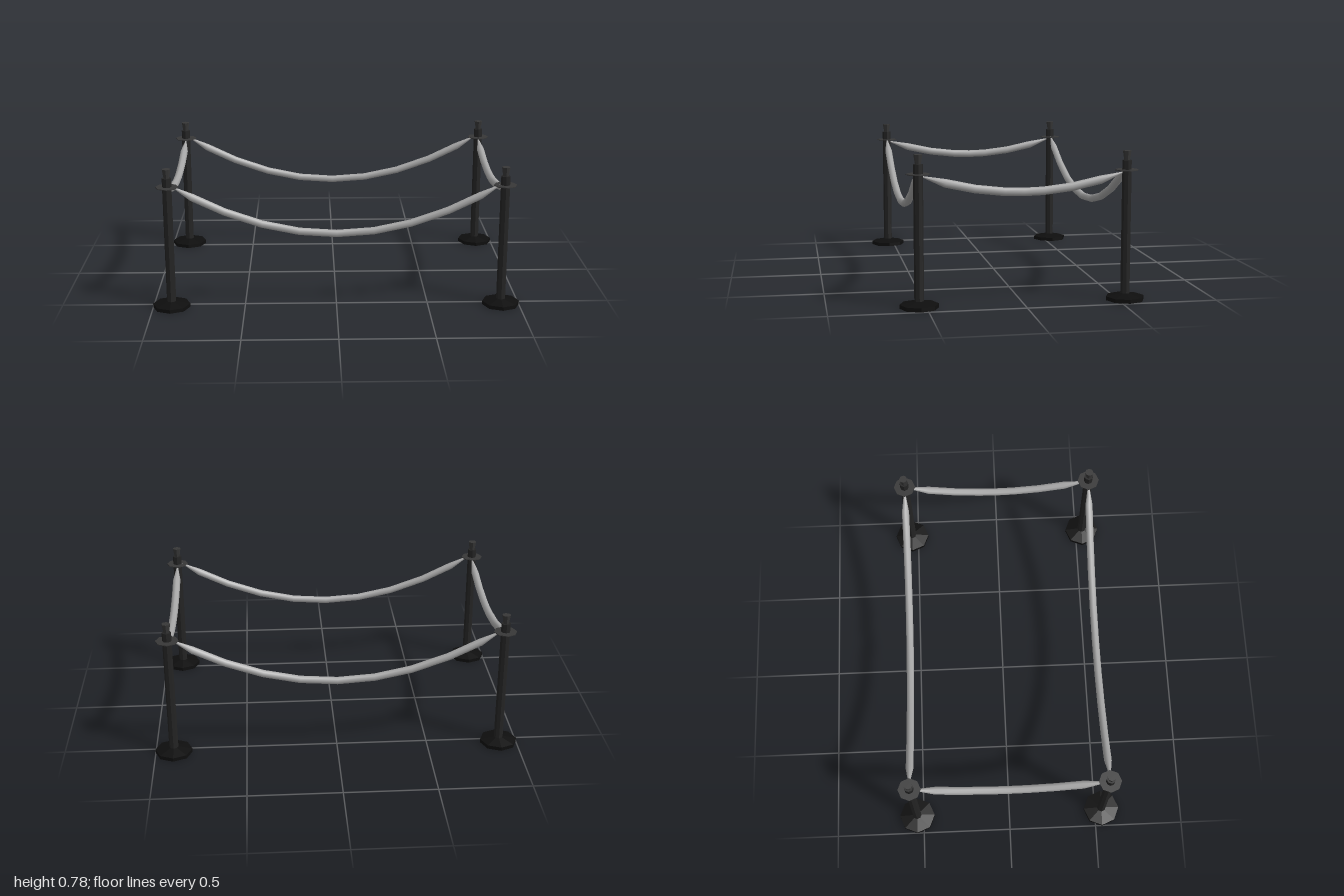
import * as THREE from 'three';

const SIDES = 8;
const paint = (color, flat) => new THREE.MeshStandardMaterial({ color, flatShading: flat });

function lathe(name, points, material) {
  const profile = points.map(([r, y]) => new THREE.Vector2(r, y));
  const mesh = new THREE.Mesh(new THREE.LatheGeometry(profile, SIDES), material);
  mesh.name = name;
  return mesh;
}

// Sagging rope along x: a ring of vertices at each station, closing to a point at both ends
function ropeGeometry(stations, lowY, rise, radius) {
  const half = stations[stations.length - 1];
  const xs = [...stations.slice(1).reverse().map((x) => -x), ...stations];
  const positions = [];
  const indices = [];
  xs.forEach((x, i) => {
    const slope = Math.atan((2 * rise * x) / (half * half));
    const y = lowY + rise * (x / half) ** 2;
    const r = i === 0 || i === xs.length - 1 ? 0.003 : radius;
    for (let j = 0; j < SIDES; j++) {
      const a = (j / SIDES) * Math.PI * 2;
      const up = Math.cos(a) * r;
      positions.push(x - Math.sin(slope) * up, y + Math.cos(slope) * up, Math.sin(a) * r);
      if (i < xs.length - 1) {
        const p = i * SIDES + j;
        const q = i * SIDES + ((j + 1) % SIDES);
        indices.push(p, p + SIDES, q, q, p + SIDES, q + SIDES);
      }
    }
  });
  const geometry = new THREE.BufferGeometry();
  geometry.setAttribute('position', new THREE.Float32BufferAttribute(positions, 3));
  // Ring order runs from up towards +z, so reverse the triangles to face outward
  for (let k = 0; k < indices.length; k += 3) {
    const [a, b, c] = indices.slice(k, k + 3);
    const A = new THREE.Vector3().fromArray(positions, a * 3);
    const B = new THREE.Vector3().fromArray(positions, b * 3);
    const C = new THREE.Vector3().fromArray(positions, c * 3);
    const mid = new THREE.Vector3().add(A).add(B).add(C).divideScalar(3);
    const centre = new THREE.Vector3(mid.x, lowY + rise * (mid.x / half) ** 2, 0);
    const normal = B.clone().sub(A).cross(C.clone().sub(A));
    if (normal.dot(mid.sub(centre)) < 0) indices.splice(k, 3, a, c, b);
  }
  geometry.setIndex(indices);
  geometry.computeVertexNormals();
  return geometry;
}

export function createModel() {
  const model = new THREE.Group();
  model.name = 'ropeBarrier';
  const black = paint(0x0e0e0e, true);
  const dark = paint(0x242424, true);
  const trim = paint(0x383838, true);
  const ropeGrey = paint(0xa8a8a8, false);

  const postX = 0.9;
  const postZ = 0.537;

  // Four posts: foot, pole, rope collar and flared knob
  for (const sx of [-1, 1]) {
    for (const sz of [-1, 1]) {
      const post = new THREE.Group();
      post.name = 'post';
      post.add(
        lathe('foot', [[0, 0], [0.101, 0], [0.101, 0.02], [0.025, 0.036]], black),
        lathe('pole', [[0.025, 0.034], [0.025, 0.73], [0, 0.73]], dark),
        lathe('collar', [[0.02, 0.678], [0.062, 0.678], [0.062, 0.682], [0.02, 0.682]], trim),
        lathe('knob', [[0.015, 0.73], [0.023, 0.779], [0, 0.779]], trim)
      );
      post.position.set(sx * postX, 0, sz * postZ);
      model.add(post);
    }
  }

  // Long ropes at front and back, short ropes at the sides
  const longRope = ropeGeometry([0, 0.2, 0.4, 0.6, 0.77, 0.87], 0.415, 0.265, 0.021);
  const shortRope = ropeGeometry([0, 0.1, 0.25, 0.4, 0.52], 0.578, 0.09, 0.022);
  for (const s of [-1, 1]) {
    const long = new THREE.Mesh(longRope, ropeGrey);
    long.name = s > 0 ? 'frontRope' : 'backRope';
    long.position.z = s * postZ;
    const short = new THREE.Mesh(shortRope, ropeGrey);
    short.name = s > 0 ? 'leftRope' : 'rightRope';
    short.rotation.y = Math.PI / 2;
    short.position.x = s * postX;
    model.add(long, short);
  }
  return model;
}
